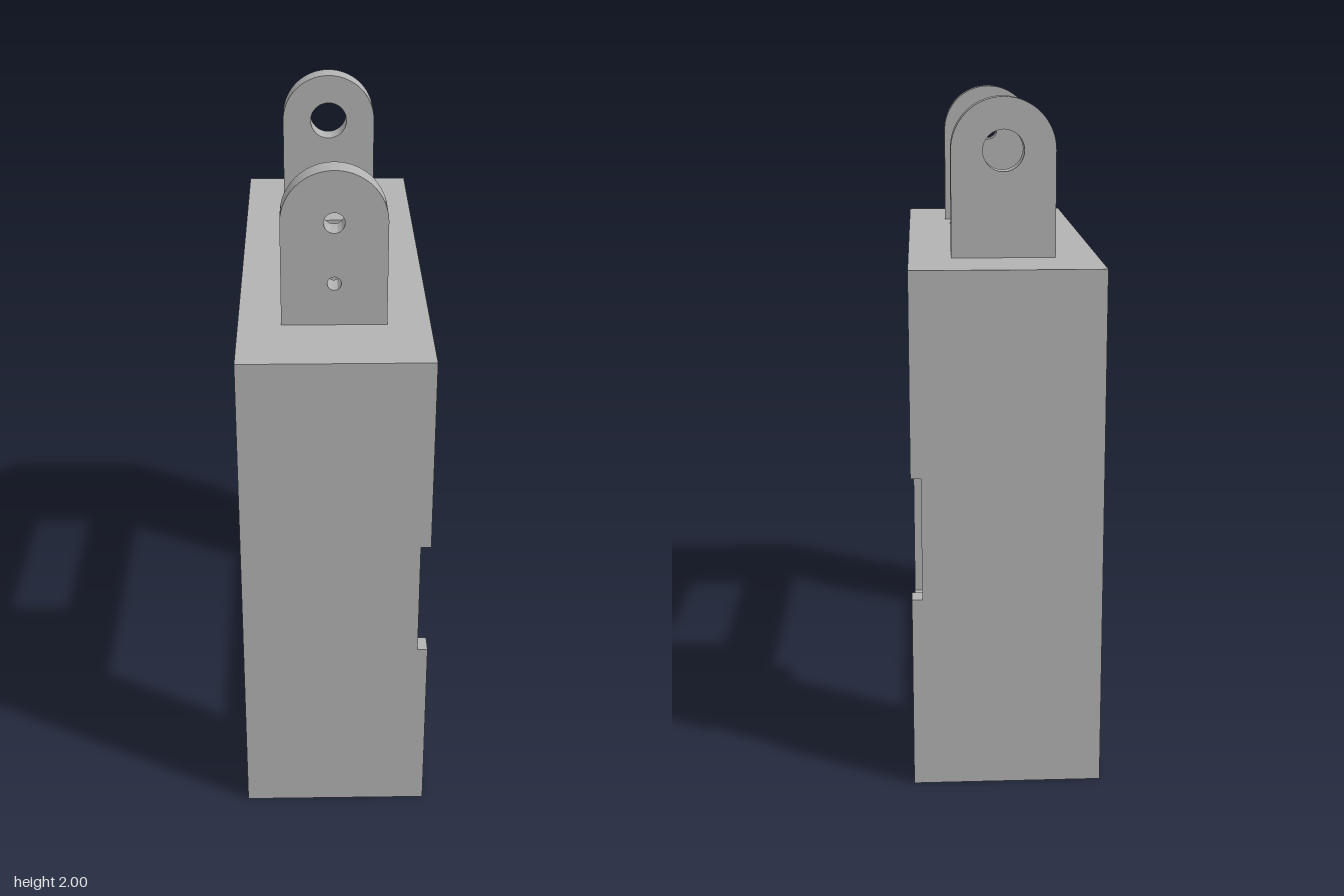
import * as THREE from 'three';
import { toCreasedNormals } from 'three/addons/utils/BufferGeometryUtils.js';

// Main dimensions
const HX = 0.277, HZ = 0.765, TOP = 1.54, CEIL = 1.46, FLOOR = 0.05, IN = 0.705;

const poly = (pts) => new THREE.Shape(pts.map(([x, y]) => new THREE.Vector2(x, y)));

function extrude(shape, depth) {
  const g = new THREE.ExtrudeGeometry(shape, { depth, bevelEnabled: false, curveSegments: 32 });
  return toCreasedNormals(g, 0.6);
}

function circleHole(y, r) {
  const p = new THREE.Path();
  p.absarc(0, y, r, 0, Math.PI * 2, true);
  return p;
}

export function createModel() {
  const model = new THREE.Group();
  model.name = 'hangingFrame';
  const grey = new THREE.MeshStandardMaterial({ color: 0xb2b2b2 });
  grey.name = 'grey';

  const add = (name, geometry) => {
    const mesh = new THREE.Mesh(geometry, grey);
    mesh.name = name;
    model.add(mesh);
    return mesh;
  };

  // Front and back walls, notched along the open +x edge
  const wall = poly([
    [-HX, 0], [HX, 0], [HX, 0.58], [0.247, 0.58], [0.247, 0.945], [HX, 0.945], [HX, CEIL], [-HX, CEIL],
  ]);
  add('frontWall', extrude(wall, HZ - IN)).position.z = IN;
  add('backWall', extrude(wall, HZ - IN)).position.z = -HZ;

  // Floor
  add('floor', new THREE.BoxGeometry(2 * HX, FLOOR, 2 * IN)).position.y = FLOOR / 2;

  // Top panel with a rectangular slot
  const panel = poly([[-HX, -HZ], [HX, -HZ], [HX, HZ], [-HX, HZ]]);
  panel.holes.push(poly([[-0.137, -0.335], [-0.137, 0.335], [0.137, 0.335], [0.137, -0.335]]));
  add('topPanel', extrude(panel, TOP - CEIL).rotateX(-Math.PI / 2)).position.y = CEIL;

  // Retaining lip on the -x side, with stepped upper corners
  const lip = poly([
    [-IN, FLOOR], [IN, FLOOR], [IN, CEIL], [0.5, CEIL], [0.5, 1.36], [0.585, 1.36], [0.585, 0.13],
    [-0.585, 0.13], [-0.585, 1.36], [-0.5, 1.36], [-0.5, CEIL], [-IN, CEIL],
  ]);
  add('retainingLip', extrude(lip, 0.06).rotateY(Math.PI / 2)).position.x = -HX;

  // Round-topped mounting lugs, each with its own holes
  const lug = (name, z, holes) => {
    const r = 0.152, s = new THREE.Shape();
    s.moveTo(-r, TOP);
    s.lineTo(r, TOP);
    s.lineTo(r, 2 - r);
    s.absarc(0, 2 - r, r, 0, Math.PI, false);
    s.closePath();
    holes.forEach(([y, radius]) => s.holes.push(circleHole(y, radius)));
    add(name, extrude(s, 0.076)).position.z = z;
  };
  lug('frontLug', 0.435, [[1.848, 0.03], [1.667, 0.02]]);
  lug('backLug', -0.53, [[1.848, 0.06]]);

  return model;
}
